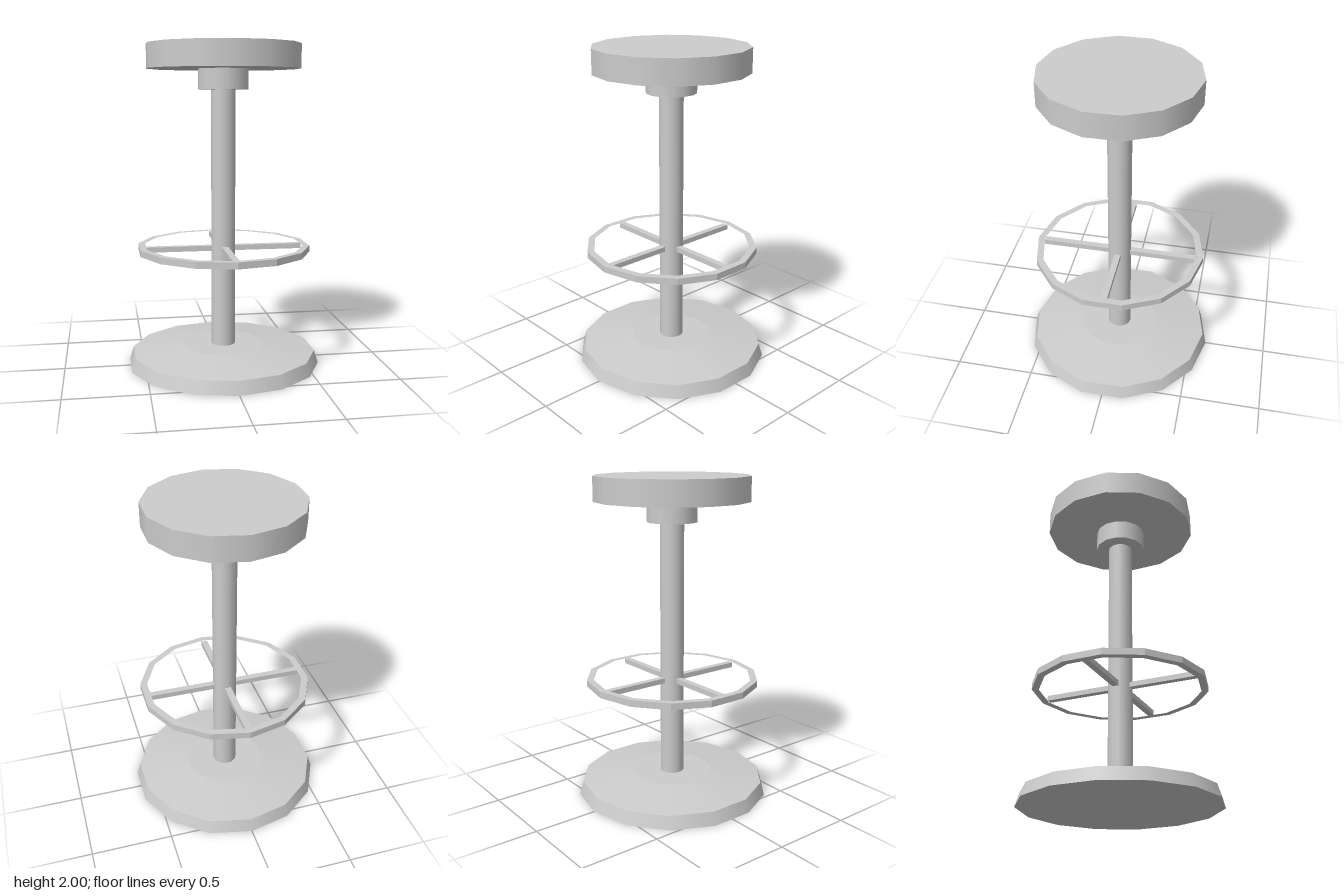
import * as THREE from 'three';

const SIDES = 14;

export function createModel() {
  const group = new THREE.Group();
  const grey = new THREE.MeshStandardMaterial({ color: 0xcccccc });
  grey.name = 'grey';

  const add = (name, geometry, parent = group) => {
    const mesh = new THREE.Mesh(geometry, grey);
    mesh.name = name;
    parent.add(mesh);
    return mesh;
  };

  // Upright drum between two heights
  const drum = (name, rBottom, rTop, y0, y1) => {
    const g = new THREE.CylinderGeometry(rTop, rBottom, y1 - y0, SIDES);
    g.translate(0, (y0 + y1) / 2, 0);
    return add(name, g);
  };

  // Base: tapered rim with a shallow raised top
  drum('baseRim', 0.605, 0.58, 0, 0.08);
  drum('baseTop', 0.58, 0.255, 0.08, 0.12);

  // Column, hub and seat
  drum('column', 0.075, 0.075, 0.11, 1.73);
  drum('seatHub', 0.155, 0.155, 1.725, 1.85);
  drum('seat', 0.475, 0.475, 1.85, 2);

  // Footrest: faceted ring with four spokes
  const footrest = new THREE.Group();
  footrest.name = 'footrest';
  group.add(footrest);

  const polygon = (r) => Array.from({ length: SIDES }, (_, i) => {
    const a = (i / SIDES) * Math.PI * 2;
    return new THREE.Vector2(Math.sin(a) * r, Math.cos(a) * r);
  });
  const shape = new THREE.Shape(polygon(0.54));
  shape.holes.push(new THREE.Path(polygon(0.497)));
  const ring = new THREE.ExtrudeGeometry(shape, { depth: 0.04, bevelEnabled: false });
  ring.rotateX(-Math.PI / 2);
  ring.translate(0, 0.72, 0);
  add('footrestRing', ring, footrest);

  for (let i = 0; i < 4; i++) {
    const spoke = new THREE.BoxGeometry(0.43, 0.032, 0.04);
    spoke.translate(0.28, 0.74, 0);
    spoke.rotateY((i * Math.PI) / 2);
    add('footrestSpoke', spoke, footrest);
  }

  return group;
}
